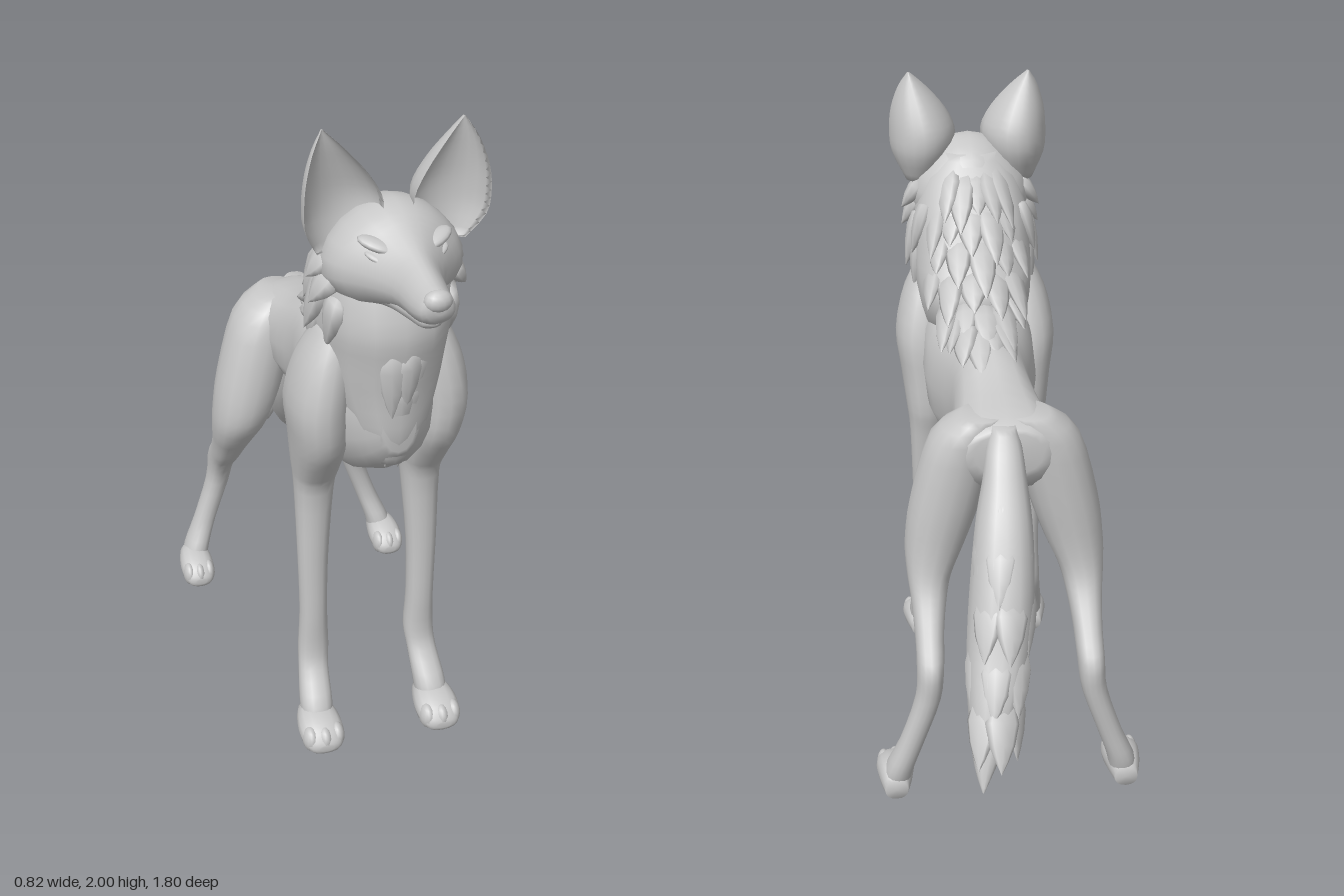
import * as THREE from 'three';

const fur = new THREE.MeshStandardMaterial({ color: 0xc8c8c8 });
fur.name = 'grey fur';

const V = (x, y, z) => new THREE.Vector3(x, y, z);
const ellipse = (a) => {
  const p = (v) => Math.sign(v) * Math.abs(v) ** 0.88;
  return [p(Math.cos(a)), p(Math.sin(a))];
};
// wide cheeks below a narrower brow
const wedge = (a) => [Math.cos(a) * (1 - 0.22 * Math.sin(a)), Math.sin(a)];
// hollow on the +z half, rounded on the -z half
const crescent = (a) => [Math.cos(a), Math.sin(a) > 0 ? 1 - 1.2 * Math.sin(a) : 1 + 2 * Math.sin(a)];

// smooth the section list with Catmull-Rom steps
function refine(rows, steps) {
  const out = [];
  for (let i = 0; i < rows.length - 1; i++) {
    const a = rows[Math.max(i - 1, 0)], b = rows[i], c = rows[i + 1], d = rows[Math.min(i + 2, rows.length - 1)];
    for (let k = 0; k < steps; k++) {
      const t = k / steps;
      out.push(b.map((_, j) => b[j] + 0.5 * t * (c[j] - a[j]
        + t * (2 * a[j] - 5 * b[j] + 4 * c[j] - d[j] + t * (3 * (b[j] - c[j]) + d[j] - a[j])))));
    }
  }
  out.push(rows[rows.length - 1]);
  return out;
}

// Skin over sections [position on axis, centre x, half width, low, high].
// axis 'y': low and high are z; axis 'z': low and high are y.
function loft(name, axis, sections, { x0 = 0, side = 1, shape = ellipse, n = 16 } = {}) {
  const rows = refine(sections, 3), pos = [], idx = [];
  const put = (u, v, s) => axis === 'y' ? pos.push(u, s, v) : pos.push(u, v, s);
  for (const [s, cx, hw, lo, hi] of rows) {
    for (let i = 0; i < n; i++) {
      const [u, v] = shape((i / n) * Math.PI * 2);
      put(x0 + side * (cx + Math.max(hw, 0.002) * u), (lo + hi) / 2 + v * (hi - lo) / 2, s);
    }
  }
  const R = rows.length;
  for (let r = 0; r < R - 1; r++) {
    for (let i = 0; i < n; i++) {
      const a = r * n + i, b = r * n + (i + 1) % n;
      idx.push(a, b, a + n, b, b + n, a + n);
    }
  }
  // end caps
  for (const r of [0, R - 1]) {
    const [s, cx, , lo, hi] = rows[r];
    const c = pos.length / 3;
    put(x0 + side * cx, (lo + hi) / 2, s);
    for (let i = 0; i < n; i++) {
      const a = r * n + i, b = r * n + (i + 1) % n;
      r ? idx.push(a, b, c) : idx.push(b, a, c);
    }
  }
  // turn the faces outward
  const P = (i) => V(pos[3 * i], pos[3 * i + 1], pos[3 * i + 2]);
  let vol = 0;
  for (let i = 0; i < idx.length; i += 3) vol += P(idx[i]).dot(P(idx[i + 1]).cross(P(idx[i + 2])));
  if (vol < 0) idx.reverse();
  const g = new THREE.BufferGeometry();
  g.setAttribute('position', new THREE.Float32BufferAttribute(pos, 3));
  g.setIndex(idx);
  g.computeVertexNormals();
  const m = new THREE.Mesh(g, fur);
  m.name = name;
  return m;
}

// pointed lock of fur, its root sunk into the skin
const lock = new THREE.LatheGeometry(
  [[0, 0], [0.8, 0.08], [1, 0.3], [0.75, 0.6], [0.38, 0.82], [0, 1]].map(([x, y]) => new THREE.Vector2(x, y)), 8);
function tuft(name, at, dir, normal, length, width, thick = 0.022) {
  const y = dir.clone().normalize();
  const x = y.clone().cross(normal).normalize();
  const z = x.clone().cross(y);
  const m = new THREE.Mesh(lock, fur);
  m.name = name;
  m.matrix.makeBasis(x, y, z).scale(V(width, length, thick)).setPosition(at.clone().addScaledVector(z, -0.018));
  m.matrix.decompose(m.position, m.quaternion, m.scale);
  return m;
}
function ball(name, x, y, z, rx, ry, rz) {
  const m = new THREE.Mesh(new THREE.SphereGeometry(1, 14, 10), fur);
  m.name = name;
  m.position.set(x, y, z);
  m.scale.set(rx, ry, rz);
  return m;
}

export function createModel() {
  const model = new THREE.Group();
  model.name = 'standing fox';
  const add = (...parts) => model.add(...parts);
  const X = 0.037; // middle of the forequarters

  // trunk and neck
  add(loft('torso', 'z', [
    [-0.385, 0, 0.1, 1.02, 1.15], [-0.33, 0, 0.17, 0.95, 1.18], [-0.15, 0.005, 0.14, 0.905, 1.22],
    [0, 0.015, 0.125, 0.885, 1.28], [0.12, 0.02, 0.15, 0.865, 1.29], [0.22, 0.025, 0.175, 0.84, 1.32],
    [0.3, 0.03, 0.18, 0.87, 1.36], [0.45, 0.035, 0.17, 0.92, 1.4], [0.57, 0.037, 0.115, 1.0, 1.36],
    [0.63, 0.037, 0.05, 1.08, 1.3]]));
  add(loft('neck', 'y', [
    [1.02, 0, 0.05, 0.44, 0.6], [1.12, 0, 0.11, 0.34, 0.635], [1.25, 0, 0.165, 0.17, 0.645],
    [1.36, 0, 0.185, 0.13, 0.66], [1.46, 0, 0.19, 0.2, 0.67], [1.58, 0, 0.18, 0.27, 0.635],
    [1.68, 0, 0.145, 0.34, 0.59], [1.76, 0, 0.09, 0.41, 0.56]], { x0: X }));

  // head
  add(loft('head', 'z', [
    [0.36, 0, 0.1, 1.54, 1.7], [0.42, 0, 0.16, 1.51, 1.77], [0.51, 0, 0.19, 1.5, 1.802],
    [0.59, 0, 0.175, 1.52, 1.795], [0.66, 0, 0.12, 1.55, 1.762], [0.74, 0, 0.07, 1.575, 1.73],
    [0.84, 0, 0.055, 1.59, 1.705], [0.89, 0, 0.044, 1.61, 1.698], [0.905, 0, 0.015, 1.64, 1.68]],
    { x0: X, shape: wedge, n: 20 }));
  add(loft('lowerJaw', 'z', [
    [0.58, 0, 0.1, 1.52, 1.62], [0.68, 0, 0.07, 1.55, 1.62], [0.78, 0, 0.045, 1.563, 1.62],
    [0.845, 0, 0.034, 1.575, 1.62], [0.865, 0, 0.012, 1.59, 1.61]], { x0: X }));
  add(ball('nose', X, 1.67, 0.886, 0.038, 0.03, 0.028));

  for (const s of [1, -1]) {
    const side = s > 0 ? 'left' : 'right';
    // ears, brows and closed eyelids
    add(loft(side + 'Ear', 'y', [
      [1.66, 0.155, 0.05, 0.47, 0.53], [1.74, 0.15, 0.096, 0.425, 0.57], [1.81, 0.147, 0.106, 0.42, 0.58],
      [1.88, 0.16, 0.086, 0.445, 0.575], [1.95, 0.178, 0.045, 0.485, 0.555], [2.0, 0.19, 0.003, 0.515, 0.53]],
      { x0: X, side: s, shape: crescent, n: 20 }));
    const brow = ball(side + 'Brow', X + s * 0.08, 1.725, 0.645, 0.055, 0.016, 0.03);
    const lid = ball(side + 'Eyelid', X + s * 0.085, 1.695, 0.66, 0.035, 0.01, 0.018);
    brow.rotation.set(0, s * 0.6, s * 0.25);
    lid.rotation.set(0, s * 0.75, s * 0.3);
    add(brow, lid);

    // front leg
    add(loft(side + 'FrontLeg', 'y', [
      [1.43, 0.12, 0.05, 0.4, 0.52], [1.32, 0.155, 0.075, 0.34, 0.56], [1.18, 0.178, 0.083, 0.295, 0.58],
      [1.05, 0.17, 0.077, 0.285, 0.56], [0.93, 0.165, 0.067, 0.285, 0.48], [0.84, 0.165, 0.058, 0.305, 0.435],
      [0.6, 0.172, 0.046, 0.34, 0.43], [0.4, 0.172, 0.042, 0.347, 0.432], [0.27, 0.172, 0.047, 0.345, 0.43],
      [0.2, 0.178, 0.046, 0.365, 0.45], [0.11, 0.186, 0.05, 0.41, 0.52], [0.04, 0.188, 0.045, 0.43, 0.54]],
      { x0: X - 0.008, side: s }));
    // hind leg
    add(loft(side + 'HindLeg', 'y', [
      [1.175, 0.07, 0.06, -0.36, -0.2], [1.1, 0.12, 0.1, -0.375, -0.15], [0.9, 0.175, 0.105, -0.37, -0.125],
      [0.76, 0.21, 0.09, -0.365, -0.13], [0.67, 0.23, 0.068, -0.375, -0.18], [0.6, 0.235, 0.054, -0.41, -0.24],
      [0.52, 0.238, 0.044, -0.475, -0.31], [0.45, 0.24, 0.041, -0.535, -0.385], [0.35, 0.25, 0.038, -0.535, -0.435],
      [0.2, 0.3, 0.037, -0.525, -0.44], [0.1, 0.338, 0.042, -0.52, -0.41], [0.04, 0.35, 0.042, -0.505, -0.4]],
      { side: s }));

    // paws with soft toes
    for (const [name, cx, back, w] of [['Front', X - 0.008 + s * 0.19, 0.42, 0.069], ['Hind', s * 0.352, -0.515, 0.058]]) {
      add(loft(side + name + 'Paw', 'z', [
        [back, cx, w * 0.6, 0.008, 0.07], [back + 0.05, cx, w * 0.85, 0, 0.105], [back + 0.11, cx, w, 0, 0.1],
        [back + 0.16, cx, w * 0.92, 0, 0.08], [back + 0.185, cx, w * 0.65, 0.006, 0.055], [back + 0.193, cx, w * 0.3, 0.02, 0.04]]));
      for (const t of [-1, 0, 1])
        add(ball(side + name + 'Toe', cx + t * w * 0.6, 0.042, back + 0.155 - Math.abs(t) * 0.01, w * 0.36, 0.041, 0.038));
    }

    // cheek ruff: x, y, z, length, outward lean
    [[0.165, 1.67, 0.5, 0.11, 0.75], [0.17, 1.62, 0.53, 0.12, 0.6], [0.18, 1.58, 0.47, 0.19, 0.25],
      [0.17, 1.55, 0.55, 0.18, 0.12], [0.16, 1.62, 0.4, 0.17, 0.3], [0.18, 1.5, 0.43, 0.17, 0.15]].forEach(([x, y, z, l, lean]) =>
      add(tuft(side + 'CheekTuft', V(X + s * x, y, z), V(s * lean, -0.85, -0.2), V(s, 0.4, 0.1), l, 0.055, 0.03)));
  }

  // mane rows down the back of the neck: y, half width, middle z, depth
  [[1.72, 0.11, 0.46, 0.08], [1.63, 0.14, 0.46, 0.14], [1.54, 0.16, 0.45, 0.19], [1.45, 0.16, 0.42, 0.22],
    [1.37, 0.14, 0.34, 0.21], [1.325, 0.1, 0.2, 0.12]].forEach(([y, w, zc, d], r) => {
    for (let j = -2; j <= 2; j++) {
      const a = (j + (r % 2) * 0.45 - 0.2) * 0.46;
      const out = V(Math.sin(a), 0.35, -Math.cos(a));
      add(tuft('maneTuft', V(X + w * Math.sin(a), y, zc - d * Math.cos(a)),
        V(Math.sin(a) * 0.2, -0.68 + r * 0.07, -0.75), out, 0.16 + 0.035 * ((2 * j + r + 9) % 3), 0.046));
    }
  });

  // chest bib
  [[1.5, 0.14, 0.14], [1.41, 0.14, 0.15], [1.31, 0.12, 0.135], [1.21, 0.08, 0.125]].forEach(([y, w, d], r) => {
    for (let j = -2; j <= 2; j++) {
      const a = (j + (r % 2) * 0.35) * 0.42;
      add(tuft('bibTuft', V(X + w * Math.sin(a), y, 0.515 + d * Math.cos(a)),
        V(-Math.sin(a) * 0.15, -1, 0.02 - r * 0.05), V(Math.sin(a), 0.1, Math.cos(a)), 0.16 + 0.03 * ((2 * j + r + 6) % 3), 0.042));
    }
  });

  // tail: sections also place the fur locks
  const tail = [
    [1.165, 0.012, 0.035, -0.395, -0.3], [1.11, 0.015, 0.052, -0.45, -0.335], [1.03, 0.018, 0.064, -0.51, -0.365],
    [0.92, 0.025, 0.082, -0.59, -0.385], [0.78, 0.035, 0.092, -0.67, -0.425], [0.64, 0.05, 0.092, -0.735, -0.48],
    [0.52, 0.07, 0.08, -0.8, -0.56], [0.42, 0.09, 0.058, -0.84, -0.66], [0.34, 0.11, 0.032, -0.865, -0.765],
    [0.285, 0.12, 0.004, -0.88, -0.865]];
  add(loft('tail', 'y', tail));
  tail.slice(2, 7).forEach(([y, cx, w, lo, hi], r) => {
    for (let j = -1; j <= 1; j++) {
      const a = (j + (r % 2) * 0.5 - 0.25) * 0.9;
      add(tuft('tailTuft', V(cx + w * 0.92 * Math.sin(a), y, (lo + hi) / 2 - (hi - lo) * 0.46 * Math.cos(a)),
        V(0.08 + 0.08 * Math.sin(a), -0.8, -0.48 - 0.1 * Math.cos(a)), V(Math.sin(a), 0.4, -Math.cos(a)), 0.2, 0.05));
    }
  });
  return model;
}
